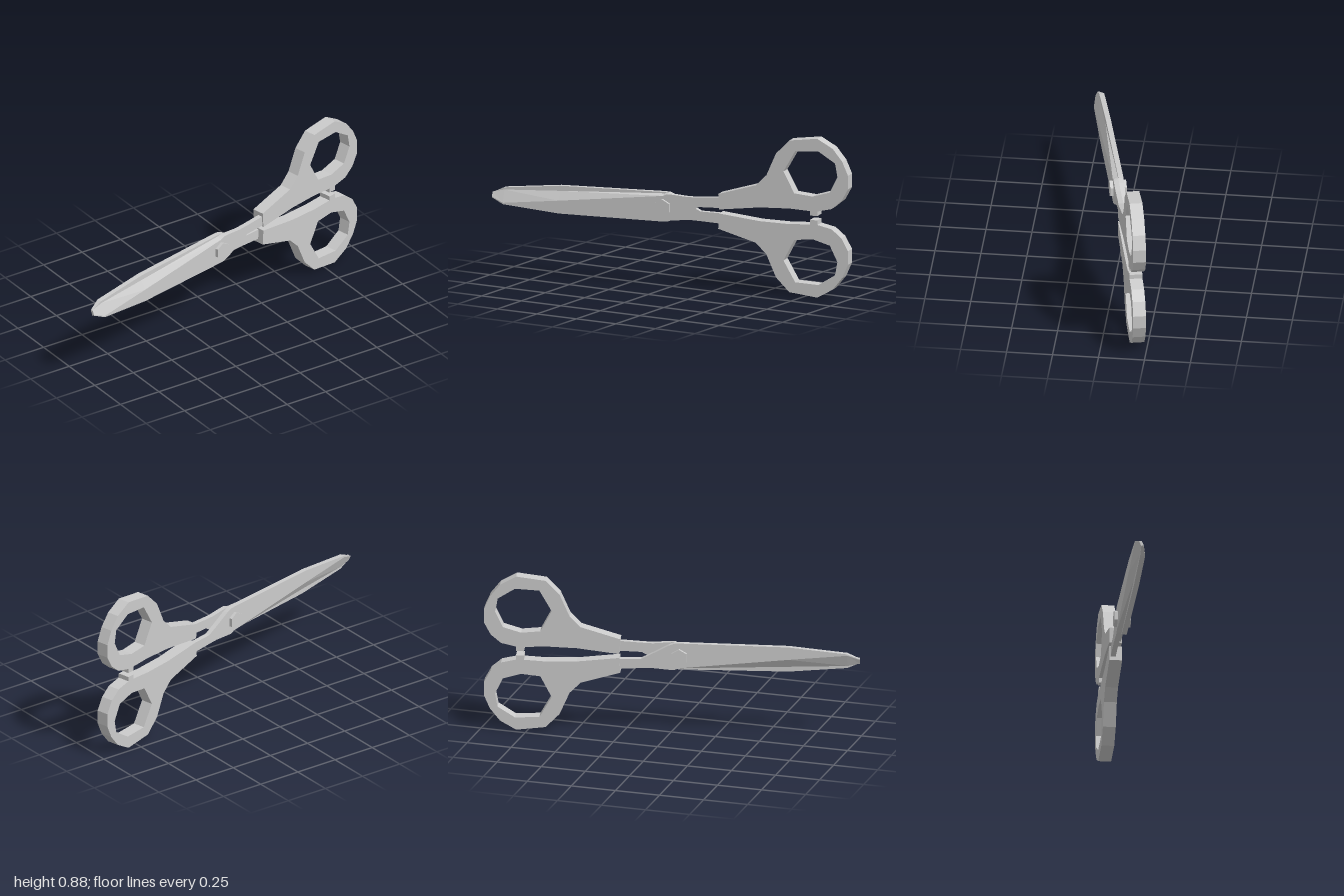
import * as THREE from 'three';

const MID = 0.441;           // height of the symmetry axis
const ANGLE = 0.2216;        // turn of the scissors about the vertical
const COS = Math.cos(ANGLE);
const material = new THREE.MeshStandardMaterial({ color: 0xcccccc, flatShading: true });

// Frontal x, y to the tool's own length and height
const along = (x, w) => (x - w * Math.sin(ANGLE)) / COS;
const toLocal = (pts, w) => pts.map(([x, y]) => new THREE.Vector2(along(x, w), y - MID));

function part(name, geometry) {
  const mesh = new THREE.Mesh(geometry, material);
  mesh.name = name;
  return mesh;
}

// Loft closed four-cornered sections and cap both ends
function loft(sections) {
  const positions = sections.flat(2);
  const index = [];
  for (let i = 0; i < sections.length - 1; i++) {
    for (let j = 0; j < 4; j++) {
      const a = i * 4 + j, b = i * 4 + (j + 1) % 4;
      index.push(a, a + 4, b, b, a + 4, b + 4);
    }
  }
  const e = (sections.length - 1) * 4;
  index.push(0, 1, 2, 0, 2, 3, e, e + 2, e + 1, e, e + 3, e + 2);
  const indexed = new THREE.BufferGeometry();
  indexed.setAttribute('position', new THREE.Float32BufferAttribute(positions, 3));
  indexed.setIndex(index);
  const geometry = indexed.toNonIndexed();
  geometry.computeVertexNormals();
  return geometry;
}

// Blade and arm: x, spine height, bevel line, cutting edge, thickness
function bladeGeometry() {
  const stations = [
    [-0.998, 0.428, 0.432, 0.458, 0.012],
    [-0.93, 0.397, 0.405, 0.473, 0.028],
    [-0.62, 0.367, 0.438, 0.487, 0.028],
    [-0.04, 0.362, 0.504, 0.513, 0.028],
    [-0.015, 0.364, 0.515, 0.518, 0.028],
    [0.015, 0.376, 0.514, 0.515, 0.028],
    [0.1, 0.424, 0.507, 0.507, 0.028],
    [0.16, 0.456, 0.509, 0.509, 0.028],
    [0.32, 0.46, 0.518, 0.518, 0.028],
  ];
  return loft(stations.map(([x, spine, bevel, edge, t]) => {
    const u = along(x, t / 2);
    return [
      [u, edge - MID, 0.0005],
      [u, spine - MID, 0.0005],
      [u, spine - MID, t],
      [u, bevel - MID, t],
    ];
  }));
}

// Finger ring with its tapering shank
function handleGeometry() {
  const depth = 0.07;
  const outline = [
    [0.275, 0.537], [0.28, 0.452], [0.505, 0.479], [0.67, 0.484], [0.778, 0.478],
    [0.826, 0.478], [0.906, 0.497], [0.96, 0.543], [0.997, 0.612], [0.997, 0.687],
    [0.965, 0.762], [0.912, 0.83], [0.826, 0.88], [0.67, 0.86], [0.596, 0.783],
    [0.543, 0.66], [0.484, 0.6],
  ];
  const hole = [
    [0.638, 0.687], [0.703, 0.803], [0.832, 0.81], [0.925, 0.75],
    [0.938, 0.676], [0.896, 0.588], [0.8, 0.559], [0.698, 0.57],
  ];
  const shape = new THREE.Shape(toLocal(outline, depth / 2));
  shape.holes.push(new THREE.Path(toLocal(hole, depth / 2)));
  return new THREE.ExtrudeGeometry(shape, { depth, bevelEnabled: false })
    .translate(0, 0, -depth / 2);
}

function createHalf(name) {
  const half = new THREE.Group();
  half.name = name;
  half.add(part('blade', bladeGeometry()), part('handle', handleGeometry()));
  const stop = part('handleStop', new THREE.BoxGeometry(0.043, 0.036, 0.07));
  stop.position.set(along(0.806, 0.035), 0.471 - MID, 0);
  half.add(stop);
  return half;
}

export function createModel() {
  const model = new THREE.Group();
  model.name = 'scissors';

  const tool = new THREE.Group();
  tool.name = 'scissorsBody';
  tool.position.y = MID;
  tool.rotation.y = ANGLE;
  model.add(tool);

  // Two equal halves, the second turned over about the long axis
  const front = createHalf('frontHalf');
  const back = createHalf('backHalf');
  back.rotation.x = Math.PI;
  tool.add(front, back);

  // Hexagonal pivot through both blades
  const pivot = part('pivotScrew',
    new THREE.CylinderGeometry(0.048, 0.048, 0.09, 6).rotateX(Math.PI / 2));
  pivot.position.x = -0.046;
  tool.add(pivot);

  return model;
}
